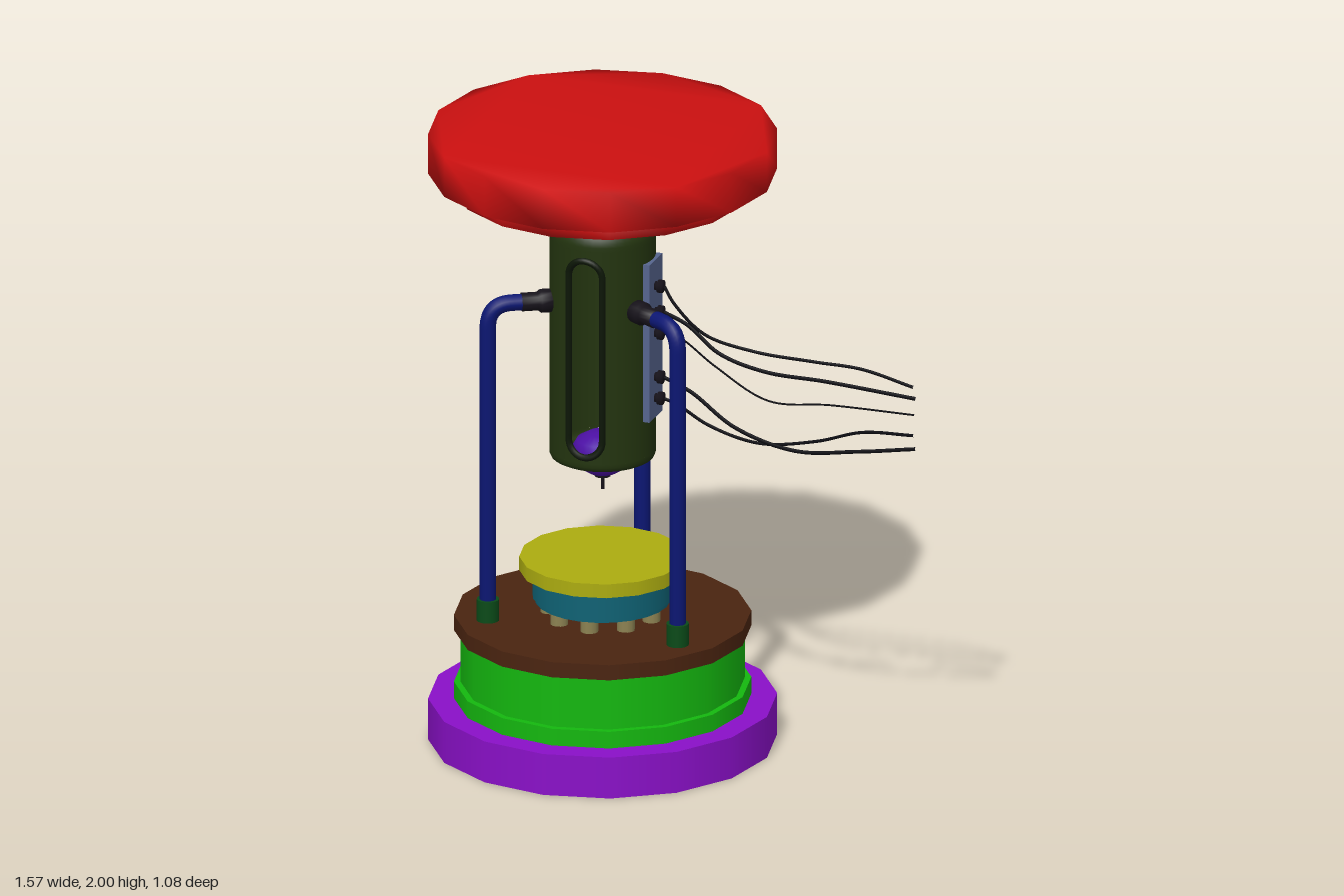
import * as THREE from 'three';
import { mergeVertices } from 'three/addons/utils/BufferGeometryUtils.js';
import { ParametricGeometry } from 'three/addons/geometries/ParametricGeometry.js';

const mat = (color, side = THREE.FrontSide) => new THREE.MeshStandardMaterial({ color, side });
const M = {
  red: mat(0xcc1010), purple: mat(0x8a10c8), green: mat(0x14b80f), brown: mat(0x4a2410),
  yellow: mat(0xacac10), teal: mat(0x0f6274), beige: mat(0x8c8252), navy: mat(0x0b1672),
  socket: mat(0x0a4a18), body: mat(0x23340f, THREE.DoubleSide), frame: mat(0x0c1606),
  black: mat(0x16121a), plate: mat(0x56658e), wire: mat(0x0a0a10), violet: mat(0x4c10a4),
};
const V3 = (x, y, z) => new THREE.Vector3(x, y, z);
const profile = pts => pts.map(p => new THREE.Vector2(p[0], p[1]));

function add(parent, name, geometry, material) {
  const mesh = new THREE.Mesh(geometry, material);
  mesh.name = name;
  parent.add(mesh);
  return mesh;
}

// Upright cylinder between two heights
function disc(parent, name, r, y0, y1, material, sides = 16) {
  const mesh = add(parent, name, new THREE.CylinderGeometry(r, r, y1 - y0, sides), material);
  mesh.position.y = (y0 + y1) / 2;
  return mesh;
}

// Polygonal slab with normals shared across its edges
function softSlab(r, y0, y1) {
  const pts = Array.from({ length: 16 }, (_, i) =>
    new THREE.Vector2(r * Math.cos(i * Math.PI / 8), r * Math.sin(i * Math.PI / 8)));
  let g = new THREE.ExtrudeGeometry(new THREE.Shape(pts), { depth: y1 - y0, bevelEnabled: false });
  g.rotateX(-Math.PI / 2).translate(0, y0, 0);
  g.deleteAttribute('normal');
  g.deleteAttribute('uv');
  g = mergeVertices(g);
  g.computeVertexNormals();
  return g;
}

// Round body with a rounded slot cut through its front wall
const R = 0.165, SLOT = 0.055, SLOT_LOW = 1.035, SLOT_HIGH = 1.575, LOW = 0.96, HIGH = 1.66;
function buildBody() {
  const body = new THREE.Group();
  body.name = 'body';
  const gap = Math.asin(SLOT / R);

  const dome = [[R, HIGH]];
  for (let i = 0; i <= 10; i++) {
    const a = i / 10 * Math.PI / 2;
    dome.push([R * Math.cos(a), 1.675 + 0.075 * Math.sin(a)]);
  }
  dome[dome.length - 1][0] = 0;
  add(body, 'bodyDome', new THREE.LatheGeometry(profile(dome), 40), M.body);
  add(body, 'bodyFloor', new THREE.LatheGeometry(profile(
    [[0, 0.93], [0.148, 0.93], [0.16, 0.936], [R, 0.948], [R, LOW]]), 40), M.body);
  add(body, 'bodyWall', new THREE.LatheGeometry(profile([[R, LOW], [R, HIGH]]), 40,
    gap, 2 * Math.PI - 2 * gap), M.body);

  // Wall pieces that close the slot above and below with round ends
  for (const top of [true, false]) {
    const panel = new ParametricGeometry((u, v, target) => {
      const a = (2 * u - 1) * gap, x = R * Math.sin(a);
      const rise = Math.sqrt(Math.max(0, SLOT * SLOT - x * x));
      const y0 = top ? SLOT_HIGH + rise : LOW, y1 = top ? HIGH : SLOT_LOW - rise;
      target.set(x, y0 + (y1 - y0) * v, R * Math.cos(a));
    }, 20, 2);
    add(body, top ? 'slotTopWall' : 'slotBottomWall', panel, M.body);
  }

  // Bead around the slot, bent onto the wall
  const outline = new THREE.Shape();
  outline.absarc(0, SLOT_HIGH, SLOT, 0, Math.PI, false);
  outline.absarc(0, SLOT_LOW, SLOT, Math.PI, 2 * Math.PI, false);
  outline.closePath();
  const path = outline.getSpacedPoints(80).slice(0, 80)
    .map(p => V3(p.x, p.y, Math.sqrt(R * R - p.x * p.x)));
  add(body, 'slotFrame', new THREE.TubeGeometry(
    new THREE.CatmullRomCurve3(path, true), 120, 0.011, 8, true), M.frame);
  return body;
}

// Support pipe with foot socket and wall connector, leaning in along -z
function buildSupport(angle) {
  const support = new THREE.Group();
  support.name = 'support';
  const d = 0.36, y = 1.453, bend = 0.075;
  disc(support, 'footSocket', 0.035, 0.41, 0.48, M.socket, 16).position.z = d;
  const path = new THREE.CurvePath();
  path.add(new THREE.LineCurve3(V3(0, 0.42, d), V3(0, y - bend, d)));
  path.add(new THREE.QuadraticBezierCurve3(V3(0, y - bend, d), V3(0, y, d), V3(0, y, d - bend)));
  path.add(new THREE.LineCurve3(V3(0, y, d - bend), V3(0, y, 0.2)));
  add(support, 'pipe', new THREE.TubeGeometry(path, 100, 0.026, 12), M.navy);
  const connector = add(support, 'connector', new THREE.LatheGeometry(profile(
    [[0, 0.15], [0.037, 0.15], [0.037, 0.195], [0.029, 0.205], [0.029, 0.255], [0, 0.255]]), 16), M.black);
  connector.rotation.x = Math.PI / 2;
  connector.position.y = y;
  support.rotation.y = angle;
  return support;
}

export function createModel() {
  const model = new THREE.Group();
  model.name = 'suspendedChamber';
  const main = new THREE.Group();
  main.name = 'machine';
  main.position.x = -0.245;
  model.add(main);

  // Floating roof
  add(main, 'roof', softSlab(0.54, 1.87, 2), M.red);
  add(main, 'roofStep', softSlab(0.46, 1.815, 1.87), M.red);

  // Stepped base
  disc(main, 'base', 0.54, 0, 0.135, M.purple);
  disc(main, 'drumLip', 0.46, 0.135, 0.19, M.green);
  disc(main, 'drum', 0.44, 0.19, 0.36, M.green);
  disc(main, 'deck', 0.46, 0.36, 0.41, M.brown);

  // Round platform on short posts
  for (let i = 0; i < 9; i++) {
    const a = i / 9 * 2 * Math.PI + 0.1;
    const post = disc(main, 'post', 0.028, 0.41, 0.46, M.beige, 12);
    post.position.x = 0.165 * Math.sin(a);
    post.position.z = 0.165 * Math.cos(a);
  }
  disc(main, 'platformRim', 0.21, 0.455, 0.47, M.teal, 24);
  disc(main, 'platform', 0.218, 0.47, 0.555, M.teal, 24);
  disc(main, 'platformTop', 0.258, 0.555, 0.6, M.yellow, 16);

  // Body, nozzle and needle
  main.add(buildBody());
  add(main, 'nozzle', new THREE.LatheGeometry(profile([[0, 0.875], [0.045, 0.878], [0.095, 0.91],
    [0.095, 0.96], [0.08, 0.985], [0.045, 1.005], [0, 1.01]]), 24), M.violet);
  disc(main, 'needleCollar', 0.025, 0.863, 0.88, M.black, 12);
  disc(main, 'needle', 0.006, 0.82, 0.87, M.black, 8);

  // Three supports around the body
  for (const a of [Math.PI / 3, -Math.PI / 3, Math.PI]) main.add(buildSupport(a));

  // Terminal plate on the left side
  const plate = add(main, 'terminalPlate', new THREE.BoxGeometry(0.032, 0.52, 0.116), M.plate);
  plate.position.set(0.159, 1.34, 0);

  // Wires: radius and points from each terminal to its loose end
  const wires = [
    [0.005, [-0.04, 1.515, 0.005], [0, 1.47, 0.025], [0.1, 1.385, 0.03], [0.25, 1.337, 0.0], [0.45, 1.325, -0.008], [0.6, 1.318, -0.015], [0.78, 1.29, 0.01]],
    [0.006, [-0.04, 1.43, 0.005], [0.04, 1.405, 0.02], [0.15, 1.33, 0.035], [0.3, 1.29, 0.038], [0.5, 1.28, 0.03], [0.78, 1.245, -0.01]],
    [0.003, [-0.04, 1.36, 0.005], [0.01, 1.35, 0], [0.12, 1.265, -0.015], [0.3, 1.18, 0], [0.5, 1.188, -0.01], [0.78, 1.195, 0]],
    [0.006, [-0.04, 1.215, 0.005], [0.05, 1.18, 0.01], [0.2, 1.09, 0.03], [0.4, 1.04, 0.035], [0.6, 1.058, 0.02], [0.78, 1.08, -0.008]],
    [0.005, [-0.04, 1.145, 0.005], [0, 1.13, 0], [0.1, 1.07, -0.01], [0.27, 1.036, 0], [0.45, 1.06, -0.015], [0.6, 1.108, -0.018], [0.78, 1.13, 0.008]],
  ];
  for (const [r, ...pts] of wires) {
    const curve = new THREE.CatmullRomCurve3(pts.map(p => V3(...p)));
    add(model, 'wire', new THREE.TubeGeometry(curve, 60, r, 6), M.wire);
    const terminal = add(model, 'terminal', new THREE.LatheGeometry(profile(
      [[0, 0], [0.014, 0], [0.014, 0.012], [0.021, 0.012], [0.021, 0.028], [0, 0.03]]), 14), M.black);
    terminal.rotation.z = -Math.PI / 2;
    terminal.position.set(-0.072, pts[0][1], pts[0][2]);
  }
  return model;
}
